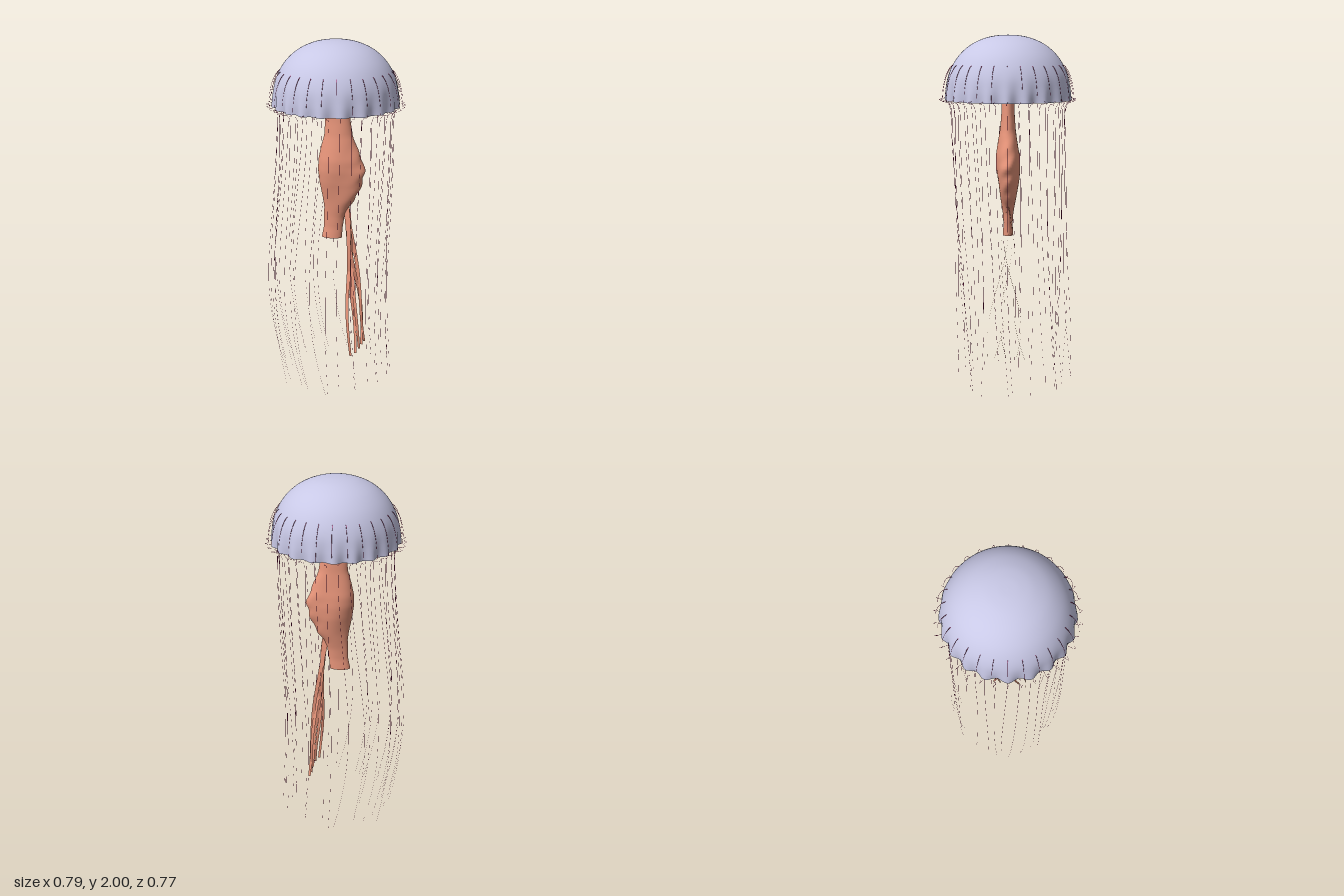
import * as THREE from 'three';
import { mergeVertices, mergeGeometries } from 'three/addons/utils/BufferGeometryUtils.js';

const V = (x, y, z) => new THREE.Vector3(x, y, z);
const bellMat = new THREE.MeshStandardMaterial({ name: 'lavender bell', color: 0xc8c8e6, side: THREE.DoubleSide });
const armMat = new THREE.MeshStandardMaterial({ name: 'coral flesh', color: 0xe8957a, side: THREE.DoubleSide });
const threadMat = new THREE.MeshStandardMaterial({ name: 'magenta thread', color: 0xb4286c });

// piecewise linear lookup of rows [y, a, b, ...]
function lookup(rows, y) {
  let i = 0;
  while (i < rows.length - 2 && y > rows[i + 1][0]) i++;
  const a = rows[i], b = rows[i + 1];
  const t = THREE.MathUtils.clamp((y - a[0]) / (b[0] - a[0]), 0, 1);
  return a.map((v, k) => v + (b[k] - v) * t);
}

// revolve a profile, then move every vertex by a rule; seam welded for smooth normals
function shapedLathe(profile, segments, rule) {
  const raw = new THREE.LatheGeometry(profile, segments);
  raw.deleteAttribute('uv');
  raw.deleteAttribute('normal');
  const g = mergeVertices(raw, 1e-5);
  const p = g.attributes.position, v = V(0, 0, 0);
  for (let i = 0; i < p.count; i++) {
    v.fromBufferAttribute(p, i);
    rule(v, Math.atan2(v.z, v.x));
    p.setXYZ(i, v.x, v.y, v.z);
  }
  g.computeVertexNormals();
  return g;
}

function mesh(name, geometry, material) {
  const m = new THREE.Mesh(geometry, material);
  m.name = name;
  return m;
}

// three-sided hair that thins from r0 to r1 along its path
function thread(points, segments, r0, r1) {
  const curve = new THREE.CatmullRomCurve3(points);
  const g = new THREE.TubeGeometry(curve, segments, r0, 3);
  const p = g.attributes.position, v = V(0, 0, 0);
  for (let i = 0; i < p.count; i++) {
    const t = Math.floor(i / 4) / segments;
    v.fromBufferAttribute(p, i).lerp(curve.getPointAt(t), t * (1 - r1 / r0));
    p.setXYZ(i, v.x, v.y, v.z);
  }
  return g;
}

// dome outline from rim to crown
const domeCurve = new THREE.SplineCurve([
  [0.345, 1.64], [0.344, 1.7], [0.334, 1.77], [0.308, 1.835], [0.266, 1.895],
  [0.205, 1.947], [0.13, 1.982], [0.06, 1.997], [0.0001, 2]
].map(([r, y]) => new THREE.Vector2(r, y)));
const LOBES = 20, RIBS = 28, TENTACLES = 34;

// pleats fade in towards the rim, slightly uneven around it
function pleat(y, angle) {
  const f = THREE.MathUtils.clamp((1.83 - y) / 0.19, 0, 1);
  return 0.011 * f * f * Math.cos(LOBES * angle + 0.5 * Math.sin(3 * angle));
}

function buildBell() {
  const g = shapedLathe(domeCurve.getPoints(44), LOBES * 10, (v, a) => {
    const r = Math.hypot(v.x, v.z), k = (r + pleat(v.y, a)) / r;
    v.x *= k;
    v.z *= k;
  });
  return mesh('bell', g, bellMat);
}

// fine radial lines springing from the bell and arching over its edge
function buildRibs() {
  const parts = [];
  for (let i = 0; i < RIBS; i++) {
    const a = i / RIBS * Math.PI * 2;
    const pts = [[0.29, 1.845], [0.315, 1.83], [0.345, 1.78], [0.363, 1.71], [0.37, 1.645]]
      .map(([r, y]) => V(r * Math.cos(a), y, r * Math.sin(a)));
    parts.push(thread(pts, 16, 0.0016, 0.0004));
  }
  return mesh('bellRibs', mergeGeometries(parts), threadMat);
}

// rows: height, right edge, left edge, half depth
const armRows = [
  [0.87, -0.082, 0.035, 0.03], [0.93, -0.07, 0.04, 0.026], [1.0, -0.068, 0.05, 0.03],
  [1.05, -0.066, 0.07, 0.038], [1.1, -0.072, 0.11, 0.046], [1.2, -0.094, 0.15, 0.061],
  [1.27, -0.105, 0.164, 0.067], [1.33, -0.102, 0.148, 0.066], [1.4, -0.086, 0.122, 0.056],
  [1.47, -0.066, 0.096, 0.045], [1.55, -0.06, 0.084, 0.038], [1.68, -0.058, 0.07, 0.034]
];

function buildOralArm() {
  const profile = Array.from({ length: 55 }, (_, i) => new THREE.Vector2(1, 0.87 + 0.81 * i / 54));
  const g = shapedLathe(profile, 48, (v, a) => {
    const [, x0, x1, d] = lookup(armRows, v.y);
    const swell = Math.exp(-(((v.y - 1.23) / 0.17) ** 2));
    // slanting folds plus a softly ruffled left edge
    const fold = 1 + (0.02 + 0.06 * swell) * Math.sin(3 * a + 11 * v.y);
    const ruffle = 0.006 * swell * Math.max(0, Math.cos(a)) * Math.sin(60 * v.y + 3 * a);
    v.x = (x0 + x1) / 2 + Math.cos(a) * (x1 - x0) / 2 * (0.7 + 0.3 * fold) + ruffle;
    v.z = Math.sin(a) * d * fold;
  });
  return mesh('oralArm', g, armMat);
}

// flat strip, wide along x, following a curve
function ribbon(points, width) {
  const n = 36, curve = new THREE.CatmullRomCurve3(points);
  const g = new THREE.PlaneGeometry(1, 1, 1, n);
  const p = g.attributes.position;
  for (let i = 0; i <= n; i++) {
    const c = curve.getPoint(i / n), w = width * (1 - 0.5 * i / n) / 2;
    p.setXYZ(2 * i, c.x - w, c.y, c.z);
    p.setXYZ(2 * i + 1, c.x + w, c.y, c.z);
  }
  g.computeVertexNormals();
  return g;
}

function buildStrands() {
  const group = new THREE.Group();
  group.name = 'trailingStrands';
  // end x, end z, sway
  [[0.107, 0.115, -0.03], [0.125, 0.075, 0.035], [0.14, 0.01, -0.04],
    [0.15, -0.05, 0.045], [0.163, -0.095, -0.03]].forEach(([ex, ez, sway], i) => {
    const pts = [];
    for (let k = 0; k <= 8; k++) {
      const t = k / 8;
      pts.push(V(
        0.055 + (ex - 0.055) * Math.pow(t, 0.75) + 0.008 * Math.sin(7 * t + i),
        1.08 - 0.9 * t,
        ez * Math.pow(t, 1.3) + sway * Math.sin(t * Math.PI * 2) * (0.5 + 0.5 * t)
      ));
    }
    group.add(mesh('strand' + (i + 1), ribbon(pts, 0.027), armMat));
  });
  return group;
}

// hair-thin tentacles: a small hook outside the rim, then hanging and drifting
function buildTentacles() {
  const parts = [];
  for (let i = 0; i < TENTACLES; i++) {
    const a = i / TENTACLES * Math.PI * 2, c = Math.cos(a), s = Math.sin(a);
    // hook: radius, height, sideways offset
    const pts = [[0.368, 1.65, -0.006], [0.384, 1.648, -0.004], [0.384, 1.642, 0.006], [0.366, 1.636, 0.004], [0.338, 1.63, 0]]
      .map(([r, y, o]) => V(r * c - o * s, y, r * s + o * c));
    for (let k = 0; k <= 9; k++) {
      const t = k / 9;
      const r = 0.325 - 0.02 * t + 0.006 * Math.sin(9 * t + i * 1.7) * t;
      const drift = Math.sin(Math.PI * Math.pow(t, 1.6));
      pts.push(V(
        r * c - (c < 0 ? 0.075 : 0.02) * drift + 0.03 * t * Math.sin(i * 2.3),
        1.6 * (1 - t) + 0.001,
        r * s - 0.035 * t + 0.03 * t * Math.sin(i * 1.3 + 3 * t)
      ));
    }
    parts.push(thread(pts, 72, 0.0009, 0.0003));
  }
  return mesh('tentacles', mergeGeometries(parts), threadMat);
}

export function createModel() {
  const model = new THREE.Group();
  model.name = 'jellyfish';
  model.add(buildBell(), buildRibs(), buildOralArm(), buildStrands(), buildTentacles());
  return model;
}
